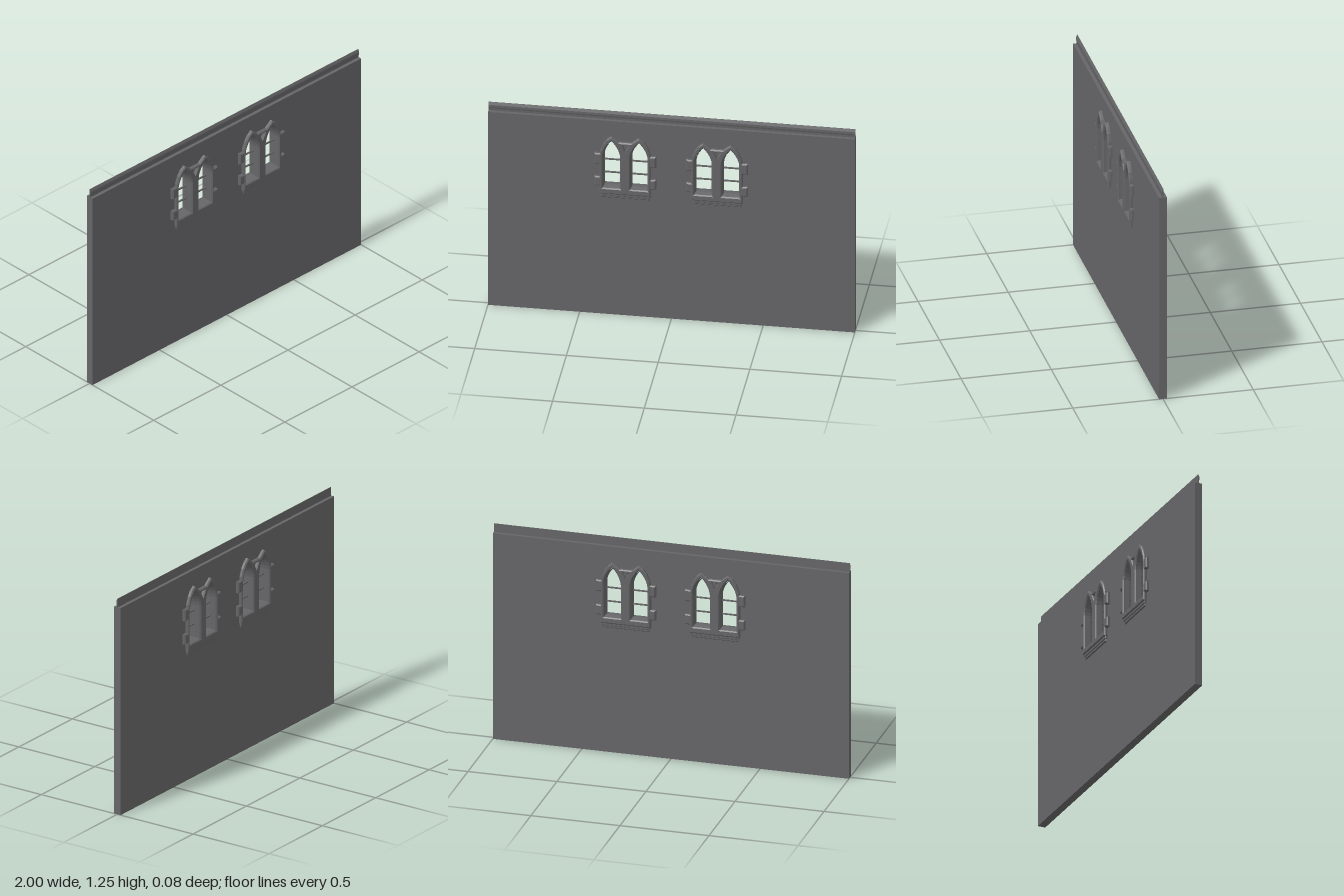
import * as THREE from 'three';

const LIGHT_X = 0.075; // offset of each light from its window's centre
const WINDOWS = [-0.25, 0.25];
const V = (x, y) => new THREE.Vector2(x, y);

// Pointed arch outline, counter-clockwise, centred on cx; grow widens it
function arch(cx, grow) {
  const hw = 0.042 + grow, bottom = 0.797 - grow, spring = 0.985, apex = 1.07 + grow * 1.8;
  const ctrl = spring + (apex - spring) * 0.55;
  const side = new THREE.QuadraticBezierCurve(V(hw, spring), V(hw * 0.9, ctrl), V(0, apex)).getPoints(5);
  const left = side.slice(0, -1).reverse().map((p) => V(-p.x, p.y));
  return [V(-hw, bottom), V(hw, bottom), ...side, ...left].map((p) => V(p.x + cx, p.y));
}

// Extrusion centred on z = 0, with an optional chamfer
function slab(points, holes, halfDepth, bevel = 0) {
  const shape = new THREE.Shape(points);
  shape.holes = holes.map((h) => new THREE.Path(h));
  const depth = 2 * (halfDepth - bevel);
  const geo = new THREE.ExtrudeGeometry(shape, {
    depth, bevelEnabled: bevel > 0, bevelSize: bevel, bevelThickness: bevel, bevelSegments: 1,
  });
  return geo.translate(0, 0, -depth / 2);
}

const rect = (x0, x1, y0, y1) => [V(x0, y0), V(x1, y0), V(x1, y1), V(x0, y1)];

// Splayed inner lining of one light: rings that narrow towards the middle
function reveal(cx) {
  const rings = [[-0.034, 0.006], [-0.008, 0], [0.008, 0], [0.034, 0.006]]
    .map(([z, grow]) => arch(cx, grow).map((p) => [p.x, p.y, z]));
  const pos = [];
  for (let r = 0; r < rings.length - 1; r++) {
    const n = rings[r].length;
    for (let i = 0; i < n; i++) {
      const j = (i + 1) % n;
      const a = rings[r][i], b = rings[r][j], c = rings[r + 1][j], d = rings[r + 1][i];
      pos.push(...a, ...c, ...b, ...a, ...d, ...c);
    }
  }
  const geo = new THREE.BufferGeometry();
  geo.setAttribute('position', new THREE.Float32BufferAttribute(pos, 3));
  geo.computeVertexNormals();
  return geo;
}

export function createModel() {
  const model = new THREE.Group();
  model.name = 'windowWall';
  const stone = new THREE.MeshStandardMaterial({ color: 0x666668 });
  stone.name = 'greyStone';
  const add = (parent, name, geo) => {
    const mesh = new THREE.Mesh(geo, stone);
    mesh.name = name;
    parent.add(mesh);
    return mesh;
  };

  // Wall pierced by four lights
  const wallHoles = WINDOWS.flatMap((wx) => [-1, 1].map((s) => arch(wx + s * LIGHT_X, 0.01)));
  add(model, 'wall', slab(rect(-1, 1, 0, 1.2), wallHoles, 0.022));

  // Thin moulded strip along the top: (z, y) profile swept in x
  const profile = [V(-0.003, 1.198), V(0.003, 1.198), V(0.003, 1.212), V(0.006, 1.222),
    V(0.006, 1.235), V(0.002, 1.245), V(0, 1.25), V(-0.003, 1.25)].map((p) => V(-p.x, p.y));
  const strip = new THREE.ExtrudeGeometry(new THREE.Shape(profile), { depth: 2, bevelEnabled: false });
  add(model, 'topMoulding', strip.translate(0, 0, -1).rotateY(Math.PI / 2));

  for (const wx of WINDOWS) {
    const win = new THREE.Group();
    win.name = wx < 0 ? 'rightWindow' : 'leftWindow';
    win.position.x = wx;
    model.add(win);

    // Twin-arched frame, with a sunk triangle between the arches
    const half = [V(0.134, 0.761), V(0.134, 0.985), V(0.13, 1.02), V(0.115, 1.06), V(0.096, 1.087),
      V(0.075, 1.104), V(0.05, 1.084), V(0.036, 1.072)];
    const outline = [...half, ...half.slice().reverse().map((p) => V(-p.x, p.y))];
    const spandrel = [V(-0.026, 1.064), V(0, 1.015), V(0.026, 1.064)];
    add(win, 'frame', slab(outline, [arch(-LIGHT_X, 0.012), arch(LIGHT_X, 0.012), spandrel], 0.041, 0.006));

    for (const s of [-1, 1]) {
      add(win, 'reveal', reveal(s * LIGHT_X));
      // Glazing bars
      for (const y of [0.872, 0.952]) {
        add(win, 'glazingBar', new THREE.BoxGeometry(0.088, 0.007, 0.008)).position.set(s * LIGHT_X, y, 0);
      }
      // Side blocks keyed into the wall
      for (const [y0, y1] of [[0.802, 0.86], [0.937, 1.003]]) {
        const xs = [s * 0.132, s * 0.162].sort((a, b) => a - b);
        add(win, 'sideBlock', slab(rect(xs[0], xs[1], y0 + 0.006, y1 - 0.006), [], 0.04, 0.006));
      }
    }

    // Stepped sill
    add(win, 'upperSill', slab(rect(-0.132, 0.132, 0.744, 0.76), [], 0.034, 0.003));
    add(win, 'lowerSill', slab(rect(-0.127, 0.127, 0.731, 0.745), [], 0.029, 0.004));
  }
  return model;
}
